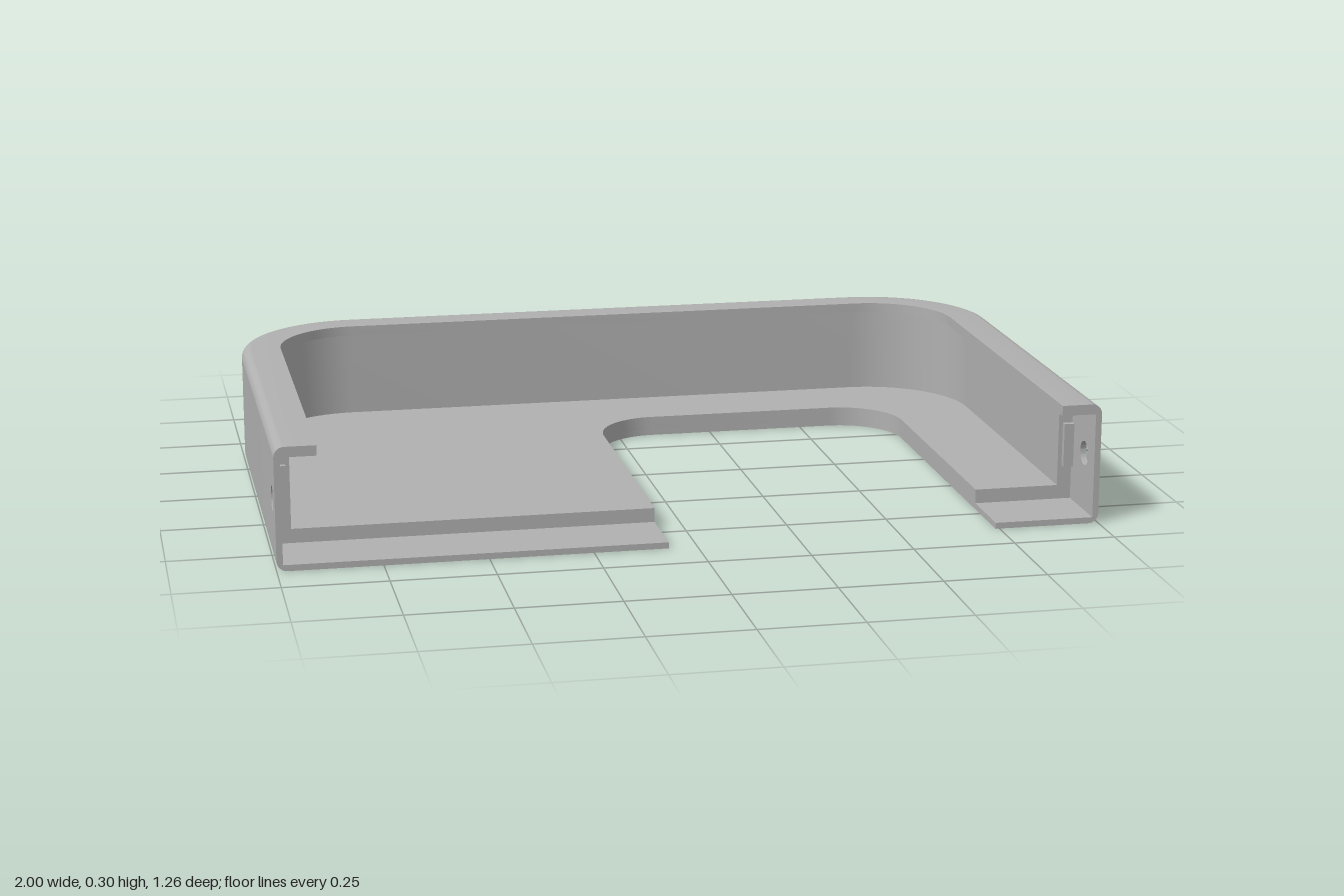
import * as THREE from 'three';
import { toCreasedNormals } from 'three/addons/utils/BufferGeometryUtils.js';

const W = 1, D = 0.63, H = 0.3;        // half width, half depth, height
const R = 0.31, FILLET = 0.025;        // corner radius, edge rounding
const SKIN = 0.015, WALL = 0.05, LIP = 0.1;
const STEP = 0.46;                     // front end of the thick wall and raised floor

function arc(cx, cy, r, from, to, n = 16) {
  return Array.from({ length: n + 1 }, (_, i) => {
    const a = (from + (to - from) * i / n) * Math.PI / 180;
    return new THREE.Vector2(cx + r * Math.cos(a), cy + r * Math.sin(a));
  });
}

// U-shaped plan line (x, -z), moved inward by d and ending at z = front
function outline(d, front) {
  return [
    new THREE.Vector2(W - d, -front),
    ...arc(W - R, D - R, R - d, 0, 90),
    ...arc(R - W, D - R, R - d, 90, 180),
    new THREE.Vector2(d - W, -front),
  ];
}

// Plan shape raised from y0 to y1
function slab(points, y0, y1) {
  const g = new THREE.ExtrudeGeometry(new THREE.Shape(points), { depth: y1 - y0, bevelEnabled: false });
  return toCreasedNormals(g.rotateX(-Math.PI / 2).translate(0, y0, 0), 0.5);
}

// Floor with the rounded cutout open to the front
function floorPlan(d, front) {
  const x0 = -0.07, x1 = 0.74, back = 0.375, r = 0.16;
  return [
    ...outline(d, front),
    new THREE.Vector2(x0, -front),
    ...arc(x0 + r, back - r, r, 180, 90),
    ...arc(x1 - r, back - r, r, 90, 0),
    new THREE.Vector2(x1, -front),
  ];
}

// Closed cross-section of (inset, y) points swept along the U
function sweep(section) {
  const lines = section.map(([d]) => outline(d, D));
  const n = section.length, m = lines[0].length;
  const pos = [], idx = [];
  for (let i = 0; i < m; i++) {
    for (let j = 0; j < n; j++) pos.push(lines[j][i].x, section[j][1], -lines[j][i].y);
  }
  for (let i = 0; i < m - 1; i++) {
    for (let j = 0; j < n; j++) {
      const k = (j + 1) % n, a = i * n + j, b = a + n, c = i * n + k, e = c + n;
      idx.push(a, b, c, b, e, c);
    }
  }
  const contour = section.map(([d, y]) => new THREE.Vector2(-d, y));
  const last = (m - 1) * n;
  for (const [a, b, c] of THREE.ShapeUtils.triangulateShape(contour, [])) {
    idx.push(a, b, c, last + a, last + c, last + b);
  }
  const g = new THREE.BufferGeometry();
  g.setAttribute('position', new THREE.Float32BufferAttribute(pos, 3));
  g.setIndex(idx);
  return toCreasedNormals(g, 0.5);
}

export function createModel() {
  const model = new THREE.Group();
  const grey = new THREE.MeshStandardMaterial({ color: 0xb0b0b0 });
  grey.name = 'grey';
  const add = (name, geometry) => {
    const mesh = new THREE.Mesh(geometry, grey);
    mesh.name = name;
    model.add(mesh);
    return mesh;
  };

  // Rounded bottom edge and top lip
  const low = arc(FILLET, FILLET, FILLET, 270, 180, 6).map(p => [p.x, p.y]);
  const high = arc(FILLET, H - FILLET, FILLET, 180, 90, 6).map(p => [p.x, p.y]);
  add('bottomEdge', sweep([[LIP, 0], ...low, [SKIN, FILLET], [SKIN, SKIN], [LIP, SKIN]]));
  add('topLip', sweep([[LIP, H - FILLET], ...high, [LIP, H]]));

  // Thin base and raised floor
  add('basePlate', slab(floorPlan(LIP, D), 0, SKIN));
  add('raisedFloor', slab(floorPlan(SKIN, STEP), SKIN, 0.05));

  // Thick wall around the sides and back
  const band = [...outline(0, STEP), ...outline(WALL, STEP).reverse()];
  add('wall', slab(band, FILLET, H - FILLET));

  // Thin front side panels with a screw hole, and the small tab behind it
  const panel = new THREE.Shape([
    new THREE.Vector2(STEP, FILLET), new THREE.Vector2(D, FILLET),
    new THREE.Vector2(D, H - FILLET), new THREE.Vector2(STEP, H - FILLET),
  ]);
  panel.holes.push(new THREE.Path(arc(0.555, 0.157, 0.03, 360, 0, 32).slice(0, -1)));
  const panelGeometry = toCreasedNormals(
    new THREE.ExtrudeGeometry(panel, { depth: SKIN, bevelEnabled: false }).rotateY(-Math.PI / 2), 0.5);
  for (const [side, s] of [['left', 1], ['right', -1]]) {
    add(side + 'Panel', panelGeometry).position.x = s > 0 ? W : SKIN - W;
    add(side + 'Tab', new THREE.BoxGeometry(0.025, 0.11, 0.015))
      .position.set(s * 0.9725, 0.155, STEP + 0.0075);
  }
  return model;
}
